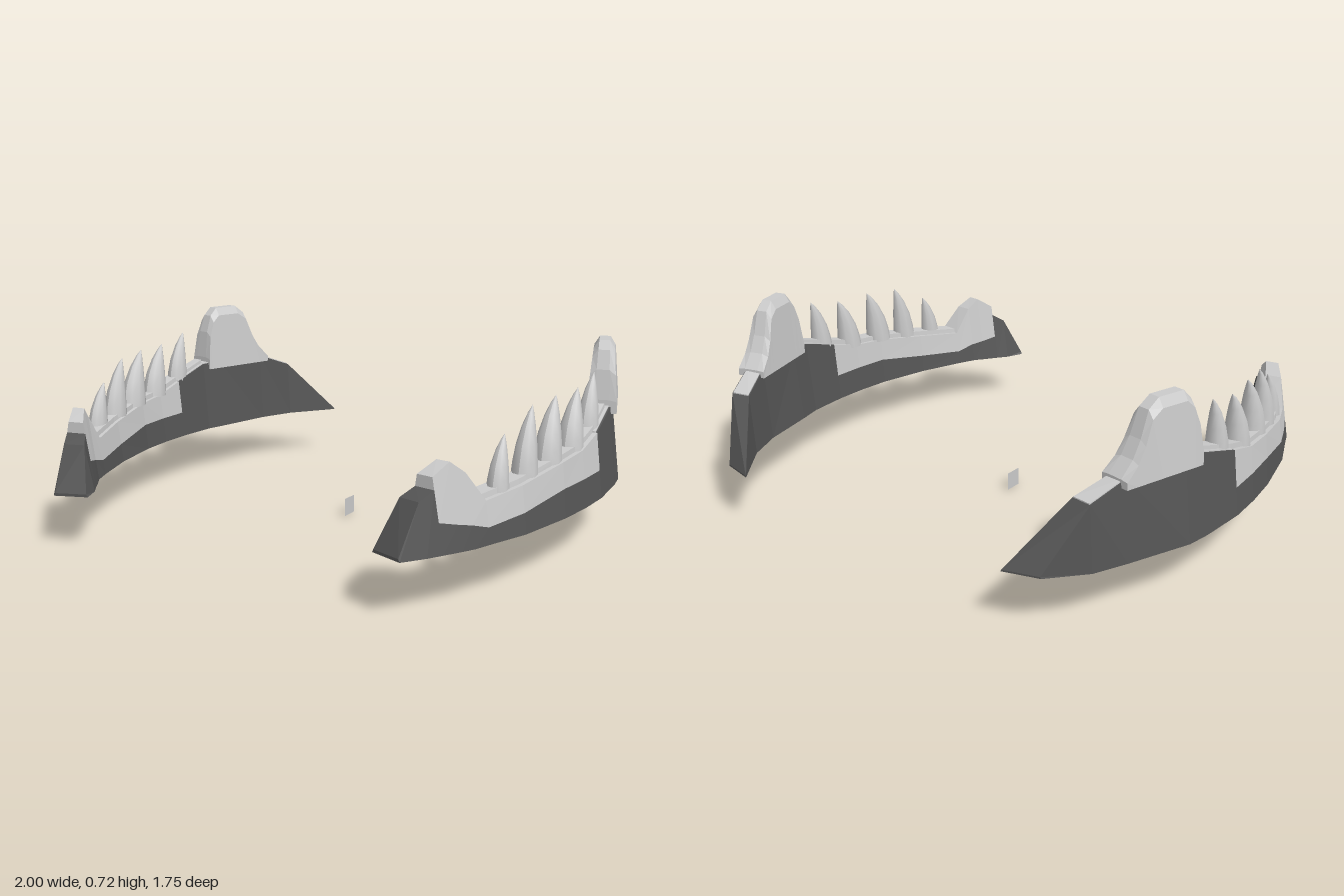
import * as THREE from 'three';

const BASE = 0.2;
const light = new THREE.MeshStandardMaterial({ color: 0xcccccc, flatShading: true });
const smooth = new THREE.MeshStandardMaterial({ color: 0xcccccc });
const dark = new THREE.MeshStandardMaterial({ color: 0x555555, flatShading: true });

// Jaw stations, front to back:
// outer x, outer z, inner x, inner z, band bottom y, top y, top inset
const S = [
  [0.70, 0.875, 0.58, 0.83, 0.205, 0.21, 0.05],
  [0.755, 0.80, 0.61, 0.76, 0.36, 0.37, 0.25],
  [0.785, 0.75, 0.64, 0.72, 0.30, 0.44, 0.32],
  [0.82, 0.69, 0.675, 0.67, 0.285, 0.48, 0.36],
  [0.845, 0.645, 0.705, 0.63, 0.275, 0.44, 0.3],
  [0.868, 0.58, 0.735, 0.56, 0.255, 0.34, 0.16],
  [0.925, 0.43, 0.80, 0.38, 0.27, 0.36, 0.16],
  [0.975, 0.20, 0.848, 0.17, 0.30, 0.39, 0.16],
  [0.993, 0.05, 0.86, 0.04, 0.30, 0.40, 0.18],
  [1.0, -0.09, 0.862, -0.09, 0.30, 0.435, 0.2],
  [0.985, -0.28, 0.85, -0.25, 0.48, 0.485, 0.24],
  [0.97, -0.37, 0.826, -0.34, 0.48, 0.488, 0.24],
  [0.875, -0.60, 0.775, -0.56, 0.48, 0.485, 0.2],
  [0.82, -0.72, 0.715, -0.70, 0.42, 0.43, 0.15],
  [0.71, -0.84, 0.58, -0.875, 0.203, 0.206, 0.02],
];

// Four-cornered slice of the jaw between two heights
function section(s, y0, y1, extra = 0) {
  const [xo, zo, xi, zi, , top, inset] = s;
  const at = (y, outer) => {
    const k = inset * (y - BASE) / (top - BASE) + extra;
    const t = outer ? k : 1 - k * 0.85;
    return new THREE.Vector3(xo + (xi - xo) * t, y, zo + (zi - zo) * t);
  };
  return [at(y0, true), at(y1, true), at(y1, false), at(y0, false)];
}

// Closed skin through rings that run from front to back
function loft(rings) {
  const p = [];
  const tri = (a, b, c) => p.push(...a.toArray(), ...b.toArray(), ...c.toArray());
  const n = rings[0].length;
  for (let k = 0; k < rings.length - 1; k++) {
    for (let i = 0; i < n; i++) {
      const j = (i + 1) % n, A = rings[k], B = rings[k + 1];
      tri(A[i], B[i], B[j]);
      tri(A[i], B[j], A[j]);
    }
  }
  const last = rings[rings.length - 1];
  for (let i = 1; i < n - 1; i++) {
    tri(rings[0][0], rings[0][i], rings[0][i + 1]);
    tri(last[0], last[i + 1], last[i]);
  }
  const g = new THREE.BufferGeometry();
  g.setAttribute('position', new THREE.Float32BufferAttribute(p, 3));
  g.computeVertexNormals();
  return g;
}

// Copy across x = 0 with the winding put right
function mirrored(geometry) {
  const g = geometry.clone().scale(-1, 1, 1);
  for (const a of [g.attributes.position, g.attributes.normal]) {
    for (let i = 0; i < a.count; i += 3) {
      const v = [a.getX(i + 1), a.getY(i + 1), a.getZ(i + 1)];
      a.setXYZ(i + 1, a.getX(i + 2), a.getY(i + 2), a.getZ(i + 2));
      a.setXYZ(i + 2, ...v);
    }
  }
  return g;
}

// Cone with a bulging front and an upright back edge
function toothGeometry(x, y, z, r, h) {
  const profile = [[1, 0], [0.93, 0.2], [0.78, 0.45], [0.5, 0.72], [0.22, 0.9], [0, 1]]
    .map(([a, b]) => new THREE.Vector2(a * r, b * h));
  const g = new THREE.LatheGeometry(profile, 10);
  const pos = g.attributes.position;
  for (let i = 0; i < pos.count; i++) {
    const rr = Math.hypot(pos.getX(i), pos.getZ(i));
    pos.setZ(i, pos.getZ(i) - (r - rr) * 1.1);
  }
  g.scale(0.88, 1, 1);
  g.computeVertexNormals();
  return g.translate(x, y, z).toNonIndexed();
}

function finGeometry() {
  const outline = [[-0.295, 0.51], [-0.308, 0.62], [-0.33, 0.69], [-0.36, 0.722], [-0.46, 0.722],
    [-0.50, 0.69], [-0.53, 0.60], [-0.56, 0.54], [-0.605, 0.488]];
  return loft(outline.map(([z, top]) => {
    const cx = 0.915 + 0.31 * (z + 0.295);
    const v = (dx, y) => new THREE.Vector3(cx + dx, y, z - dx * 0.25);
    const w = 0.055 - 0.07 * (top - 0.48), ym = top - 0.12 * (top - 0.46);
    return [v(0.055, 0.46), v(w, ym), v(w * 0.5, top), v(-w * 0.5, top), v(-w, ym), v(-0.055, 0.46)];
  }));
}

export function createModel() {
  const model = new THREE.Group();
  const sides = [['left', new THREE.Group()], ['right', new THREE.Group()]];
  for (const [side, group] of sides) {
    group.name = side + 'Jaw';
    model.add(group);
  }
  const add = (name, geometry, material) => {
    for (const [side, group] of sides) {
      const mesh = new THREE.Mesh(side === 'left' ? geometry : mirrored(geometry), material);
      mesh.name = name;
      group.add(mesh);
    }
  };

  // Dark base: low under the band, full height at nose and rear
  const baseRings = [
    section(S[0], BASE, S[0][5]), section(S[1], BASE, S[1][5]), section(S[2], BASE, 0.40),
    ...S.slice(2, 10).map(s => section(s, BASE, s[4])),
    ...S.slice(9).map(s => section(s, BASE, s[5])),
  ];
  add('jawBase', loft(baseRings), dark);

  // Light band with the raised front peak
  add('upperBand', loft(S.slice(2, 10).map(s => section(s, s[4], s[5]))), light);

  // Light strip along the rear ridge
  add('rearRidge', loft(S.slice(9, 14).map(s => section(s, s[5] - 0.02, s[5] + 0.004, 0.04))), light);

  // Thin gum plate that carries the teeth
  add('gumPlate', loft(S.slice(5, 11).map(s => section(s, s[5] - 0.01, s[5] + 0.018, 0.12))), light);

  // Teeth: x, base y, z, radius, height
  [
    [0.84, 0.35, 0.475, 0.042, 0.175],
    [0.873, 0.37, 0.335, 0.05, 0.225],
    [0.898, 0.385, 0.195, 0.056, 0.22],
    [0.918, 0.395, 0.035, 0.054, 0.21],
    [0.922, 0.435, -0.125, 0.046, 0.2],
  ].forEach((t, i) => add('tooth' + (i + 1), toothGeometry(...t), smooth));

  // Tall fin behind the teeth
  add('rearFin', finGeometry(), light);

  // Small upright square on the centre line
  const square = new THREE.Mesh(
    new THREE.PlaneGeometry(0.07, 0.07).rotateY(Math.PI / 2).translate(0, 0.035, -0.024),
    new THREE.MeshStandardMaterial({ color: 0xcccccc, side: THREE.DoubleSide }));
  square.name = 'centreSquare';
  model.add(square);
  return model;
}
